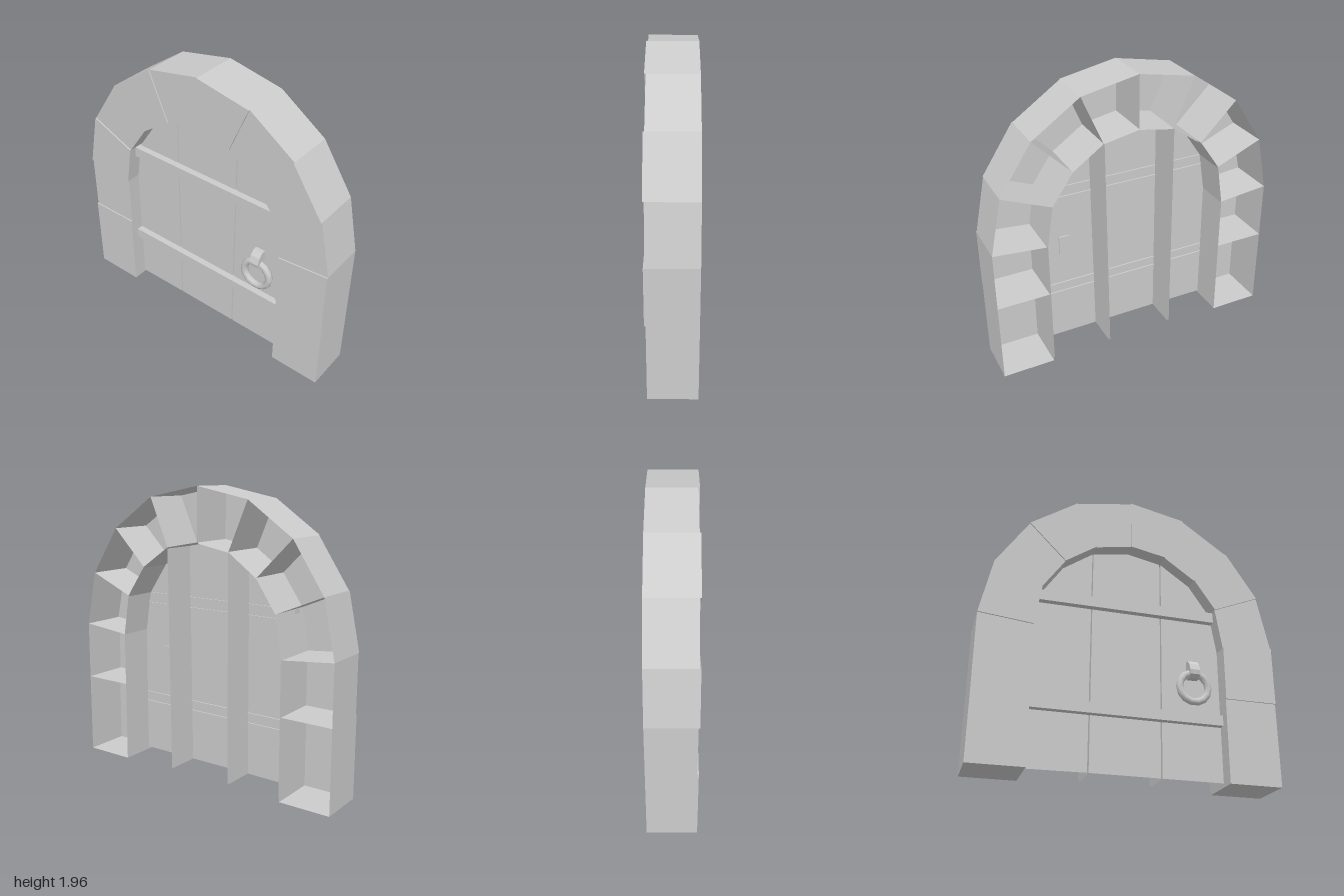
import * as THREE from 'three';

const mat = new THREE.MeshStandardMaterial({ color: 0xcccccc, flatShading: true, side: THREE.DoubleSide });
const smooth = new THREE.MeshStandardMaterial({ color: 0xcccccc, side: THREE.DoubleSide });

// Open-backed prism: convex counterclockwise outline, front face plus side walls.
// openFirst leaves out the wall on the first edge.
function shell(name, outline, zBack, zFront, openFirst = false) {
  const pos = [];
  const put = (p, z) => pos.push(p[0], p[1], z);
  for (let i = 1; i < outline.length - 1; i++) {
    put(outline[0], zFront);
    put(outline[i], zFront);
    put(outline[i + 1], zFront);
  }
  outline.forEach((a, i) => {
    if (openFirst && i === 0) return;
    const b = outline[(i + 1) % outline.length];
    put(a, zFront); put(a, zBack); put(b, zBack);
    put(a, zFront); put(b, zBack); put(b, zFront);
  });
  const geo = new THREE.BufferGeometry();
  geo.setAttribute('position', new THREE.Float32BufferAttribute(pos, 3));
  geo.computeVertexNormals();
  const mesh = new THREE.Mesh(geo, mat);
  mesh.name = name;
  return mesh;
}

export function createModel() {
  const model = new THREE.Group();
  const back = -0.163;
  const plankFront = 0.065;

  // Stone arch: one half is listed, the other mirrored; every second stone is proud
  const outer = [[1, 0], [1, 0.56], [1, 0.96], [0.92, 1.34], [0.705, 1.665], [0.385, 1.885], [0, 1.96]];
  const inner = [[0.645, 0], [0.645, 0.56], [0.645, 0.925], [0.6, 1.205], [0.455, 1.415], [0.245, 1.56], [0, 1.605]];
  const arch = new THREE.Group();
  arch.name = 'stoneArch';
  for (const side of [1, -1]) {
    for (let i = 0; i < 6; i++) {
      const quad = [inner[i], outer[i], outer[i + 1], inner[i + 1]].map(([x, y]) => [x * side, y]);
      if (side < 0) quad.reverse();
      const proud = (i % 2 === 1) === (side > 0);
      arch.add(shell('archStone', quad, back, proud ? 0.163 : 0.154));
    }
  }
  model.add(arch);

  // Door planks with narrow gaps, hollow behind and open below
  const planks = [
    [[-0.64, 0.018], [-0.256, 0.022], [-0.25, 1.553], [-0.452, 1.41], [-0.594, 1.2], [-0.638, 0.925]],
    [[-0.246, 0.022], [0.217, 0.022], [0.236, 1.553], [0, 1.599], [-0.242, 1.555]],
    [[0.227, 0.022], [0.638, 0.022], [0.638, 0.925], [0.594, 1.2], [0.45, 1.41], [0.245, 1.552]],
  ];
  for (const p of planks) model.add(shell('doorPlank', p, back, plankFront, true));

  // Cross straps, reaching slightly through the planks
  for (const [x0, x1, y0, y1] of [[-0.64, 0.638, 0.39, 0.46], [-0.605, 0.603, 1.13, 1.203]]) {
    model.add(shell('crossStrap', [[x0, y0], [x1, y0], [x1, y1], [x0, y1]], plankFront - 0.01, 0.11));
  }

  // Knocker: side profile (z, y) of the bracket extruded across x
  const profile = new THREE.Shape([
    [0.055, 0.7], [0.11, 0.7], [0.138, 0.72], [0.143, 0.75], [0.125, 0.795], [0.095, 0.825], [0.055, 0.825],
  ].map(([z, y]) => new THREE.Vector2(-z, y)));
  const bracketGeo = new THREE.ExtrudeGeometry(profile, { depth: 0.07, bevelEnabled: false });
  bracketGeo.rotateY(Math.PI / 2);
  const bracket = new THREE.Mesh(bracketGeo, mat);
  bracket.position.x = 0.41;
  bracket.name = 'knockerBracket';

  const ring = new THREE.Mesh(new THREE.TorusGeometry(0.1, 0.025, 8, 14), smooth);
  ring.position.set(0.446, 0.638, 0.1);
  ring.name = 'knockerRing';
  model.add(bracket, ring);

  return model;
}
